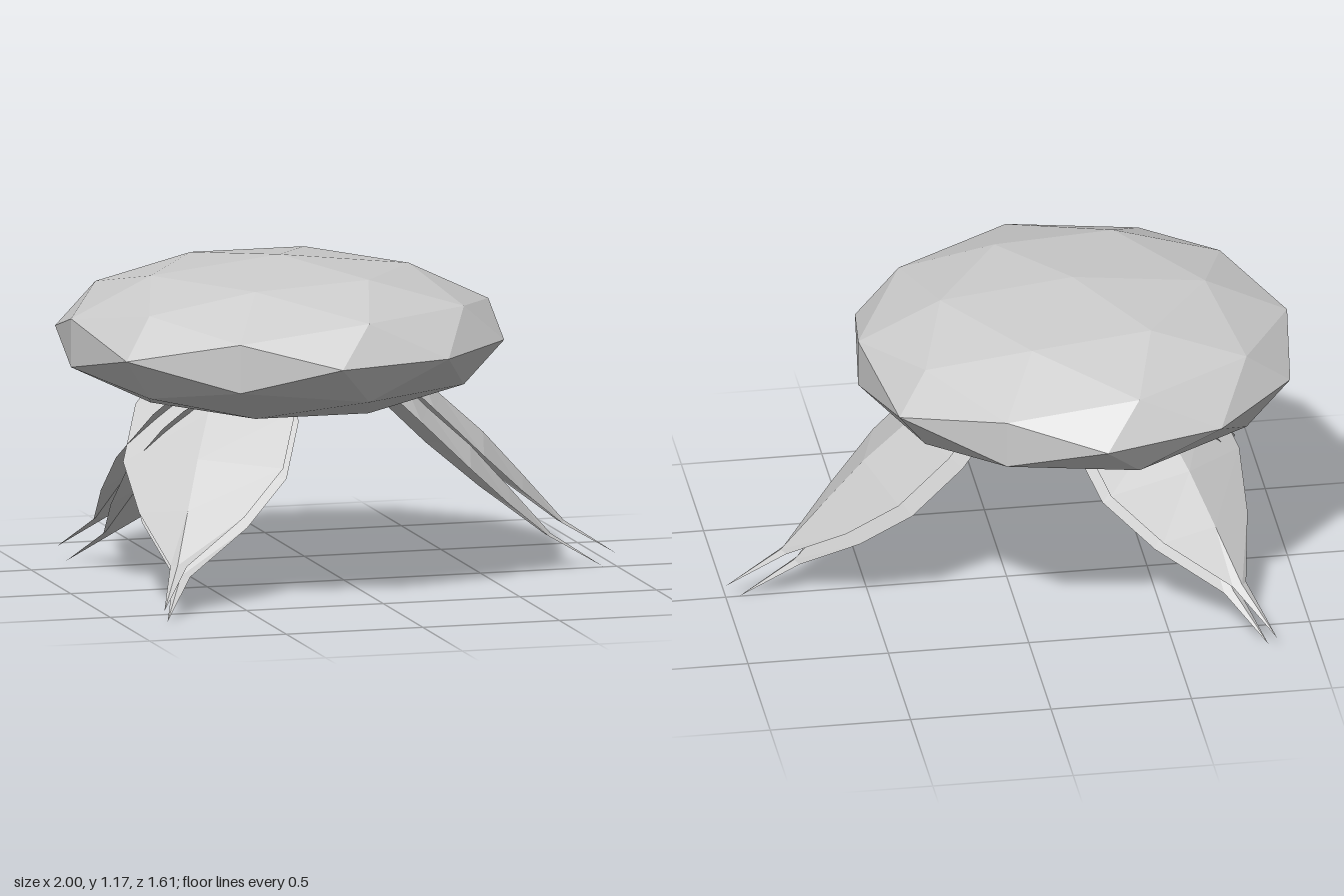
import * as THREE from 'three';

// Rows of a folded leaf, root to tip: edge x, edge y, half width, ridge x, ridge y
const ROWS = [
  [0.18, 0.72, 0.25, 0.28, 0.725],
  [0.25, 0.65, 0.29, 0.355, 0.65],
  [0.43, 0.475, 0.29, 0.51, 0.51],
  [0.6, 0.325, 0.19, 0.655, 0.35],
  [0.79, 0.175, 0.03, 0.805, 0.18],
  [1.0, 0.05, 0, 1.0, 0.05],
];

// Leaf-shaped sheet with a central ridge, pointing along +x
function leafGeometry() {
  const grid = ROWS.map(([ex, ey, w, rx, ry]) => [[ex, ey, w], [rx, ry, 0], [ex, ey, -w]]);
  const pos = [];
  for (let i = 0; i < grid.length - 1; i++) {
    for (let j = 0; j < 2; j++) {
      const a = grid[i][j], b = grid[i][j + 1];
      const c = grid[i + 1][j], d = grid[i + 1][j + 1];
      pos.push(...a, ...c, ...b);
      if (i < grid.length - 2) pos.push(...b, ...c, ...d);
    }
  }
  const geo = new THREE.BufferGeometry();
  geo.setAttribute('position', new THREE.Float32BufferAttribute(pos, 3));
  geo.computeVertexNormals();
  return geo;
}

export function createModel() {
  const model = new THREE.Group();
  model.name = 'threeLeggedPod';
  const grey = new THREE.MeshStandardMaterial({ color: 0xcccccc, side: THREE.DoubleSide });
  grey.name = 'light grey';

  // Faceted, flattened body
  const bodyGeo = new THREE.IcosahedronGeometry(1, 1);
  bodyGeo.rotateX(Math.PI / 2);
  bodyGeo.rotateY(Math.atan(2 / (1 + Math.sqrt(5)))); // one vertex on the z axis
  bodyGeo.scale(0.803, 0.28, 0.803);
  bodyGeo.computeVertexNormals(); // unshared corners give flat facets
  const body = new THREE.Mesh(bodyGeo, grey);
  body.name = 'body';
  body.position.set(-0.235, 0.9, 0);
  model.add(body);

  // Three legs, each an outer and an inner leaf
  const leaf = leafGeometry();
  const legs = [
    ['leftLeg', 0, 0, 0],
    ['frontRightLeg', -1, -0.355, -0.182],
    ['backRightLeg', 1, -0.355, 0.182],
  ];
  for (const [name, turn, x, z] of legs) {
    const leg = new THREE.Group();
    leg.name = name;
    const outer = new THREE.Mesh(leaf, grey);
    outer.name = 'outerLeaf';
    const inner = new THREE.Mesh(leaf, grey);
    inner.name = 'innerLeaf';
    inner.position.set(-0.048, -0.045, 0);
    leg.add(outer, inner);
    leg.rotation.y = turn * Math.PI * 2 / 3;
    leg.position.set(x, 0, z);
    model.add(leg);
  }
  return model;
}
